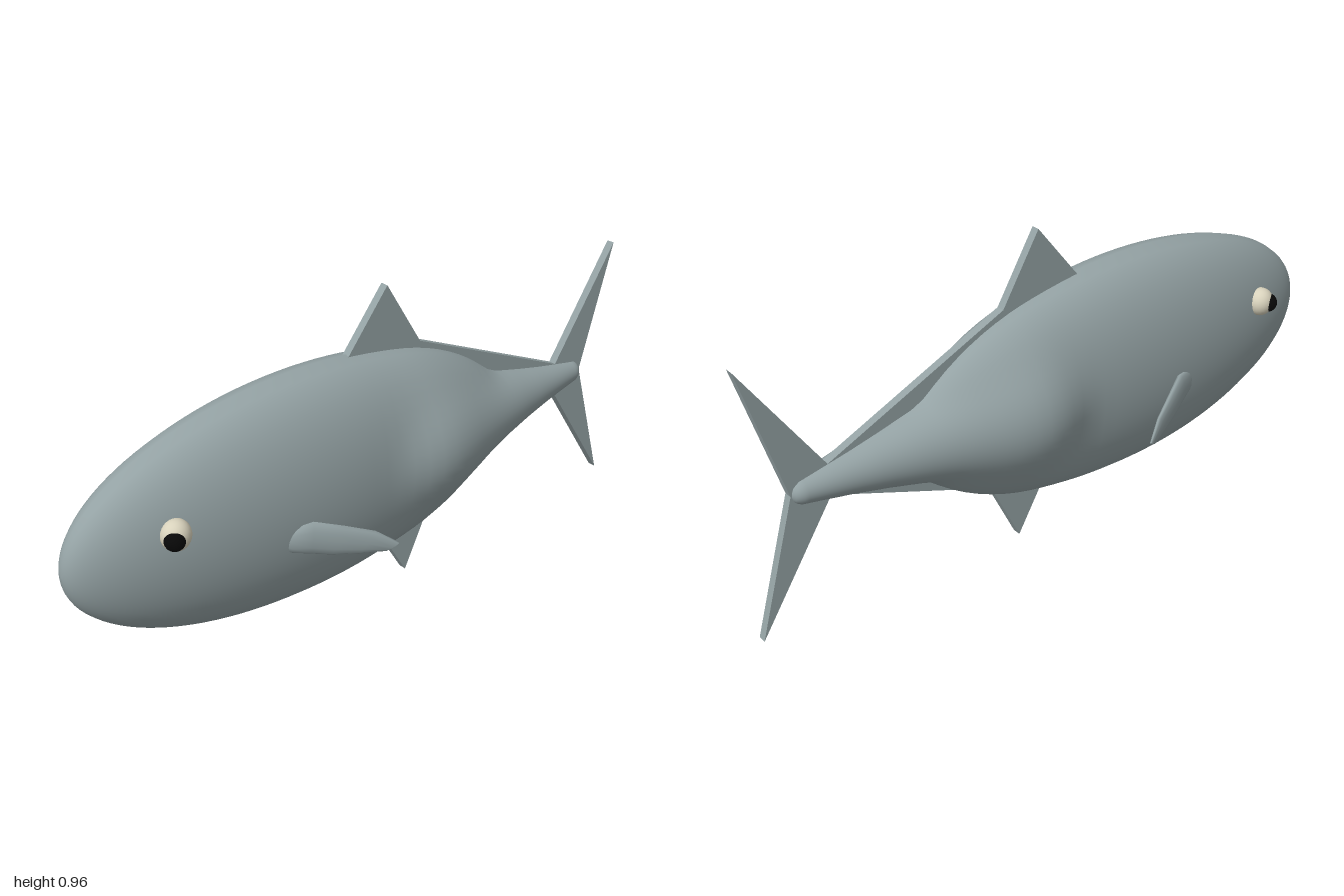
import * as THREE from 'three';

const skin = new THREE.MeshStandardMaterial({ color: 0x94a2a4 });
skin.name = 'greySkin';
const ivory = new THREE.MeshStandardMaterial({ color: 0xd8d2bc });
ivory.name = 'ivoryEye';
const black = new THREE.MeshStandardMaterial({ color: 0x080808 });
black.name = 'blackPupil';

function mesh(name, geometry, material) {
  const m = new THREE.Mesh(geometry, material);
  m.name = name;
  return m;
}

// Skin a list of closed rings of [x, y, z] points
function loft(rings) {
  const n = rings[0].length, index = [];
  for (let i = 0; i < rings.length - 1; i++) {
    for (let j = 0; j < n; j++) {
      const a = i * n + j, b = i * n + (j + 1) % n;
      index.push(a, a + n, b, b, a + n, b + n);
    }
  }
  const g = new THREE.BufferGeometry();
  g.setAttribute('position', new THREE.Float32BufferAttribute(rings.flat(2), 3));
  g.setIndex(index);
  g.computeVertexNormals();
  return g;
}

// Tail radius along z, front to back
const tail = [[0.12, 0], [0.06, 0.07], [0, 0.13], [-0.06, 0.17], [-0.12, 0.189], [-0.18, 0.194],
  [-0.25, 0.181], [-0.4, 0.138], [-0.5, 0.112], [-0.6, 0.087], [-0.7, 0.065], [-0.8, 0.046],
  [-0.855, 0.036], [-0.873, 0.022], [-0.88, 0]];

function tailRadius(z) {
  for (let i = 1; i < tail.length; i++) {
    const [z0, r0] = tail[i - 1], [z1, r1] = tail[i];
    if (z <= z0 && z >= z1) return THREE.MathUtils.lerp(r0, r1, (z0 - z) / (z0 - z1));
  }
  return 0;
}

// Body: tall ellipsoid blended into a round tapering tail
function bodyGeometry() {
  const rings = [], steps = 64, sides = 48;
  for (let i = 0; i <= steps; i++) {
    const z = 0.06 + 0.94 * Math.cos(Math.PI * i / steps);
    const k = Math.sqrt(Math.max(0, 1 - ((z - 0.25) / 0.75) ** 2));
    const rt = tailRadius(z), ring = [];
    for (let j = 0; j < sides; j++) {
      const a = 2 * Math.PI * j / sides, c = Math.cos(a), s = Math.sin(a);
      const re = k / Math.hypot(c / 0.168, s / 0.345);
      const r = Math.pow(re ** 6 + rt ** 6, 1 / 6);
      ring.push([r * c, 0.453 + r * s, z]);
    }
    rings.push(ring);
  }
  return loft(rings);
}

// Upright plate fin from a [z, y] outline
function plateFin(name, outline) {
  const shape = new THREE.Shape(outline.map(([z, y]) => new THREE.Vector2(z, y)));
  const g = new THREE.ExtrudeGeometry(shape, { depth: 0.025, bevelEnabled: false });
  g.translate(0, 0, -0.0125).rotateY(-Math.PI / 2);
  return mesh(name, g, skin);
}

// Side fin: lens sections between [upper edge, lower edge, half thickness]
const sideFin = [
  [[0.13, 0.415, 0.43], [0.13, 0.37, 0.43], 0.012],
  [[0.155, 0.428, 0.39], [0.155, 0.355, 0.4], 0.015],
  [[0.178, 0.44, 0.34], [0.176, 0.342, 0.35], 0.016],
  [[0.215, 0.415, 0.265], [0.2, 0.33, 0.3], 0.014],
  [[0.252, 0.384, 0.185], [0.232, 0.32, 0.23], 0.011],
  [[0.284, 0.338, 0.125], [0.262, 0.313, 0.16], 0.006],
];

function sideFinGeometry(s) {
  const rings = sideFin.map(([top, low, t]) => {
    const ring = [];
    for (let j = 0; j < 12; j++) {
      const a = Math.PI * j / 6, f = (1 - Math.cos(a)) / 2, d = -s * Math.sin(a) * t;
      const p = top.map((v, i) => THREE.MathUtils.lerp(v, low[i], f));
      ring.push([s * (p[0] + 0.9 * d), p[1], p[2] + 0.42 * d]);
    }
    return ring;
  });
  // Close both ends at the section centres
  const cap = ([top, low]) => Array.from({ length: 12 }, () =>
    top.map((v, i) => (v + low[i]) / 2 * (i === 0 ? s : 1)));
  return loft([cap(sideFin[0]), ...rings, cap(sideFin[sideFin.length - 1])]);
}

export function createModel() {
  const fish = new THREE.Group();
  fish.name = 'fish';
  fish.add(mesh('body', bodyGeometry(), skin));

  // Fins on the centre line, the upper and lower ones trailing into a keel
  fish.add(plateFin('dorsalFin', [[0.08, 0.785], [-0.06, 0.96], [-0.185, 0.757], [-0.77, 0.503],
    [-0.77, 0.48], [-0.5, 0.52], [-0.18, 0.6], [0.08, 0.7]]));
  fish.add(plateFin('bellyFin', [[-0.05, 0.15], [-0.14, 0], [-0.24, 0.205], [-0.76, 0.408],
    [-0.76, 0.43], [-0.5, 0.39], [-0.2, 0.3], [-0.05, 0.25]]));
  fish.add(plateFin('tailFin', [[-1, 0.855], [-0.88, 0.453], [-1, 0.05], [-0.765, 0.405], [-0.765, 0.505]]));

  for (const s of [1, -1]) {
    const side = s > 0 ? 'left' : 'right';
    fish.add(mesh(side + 'SideFin', sideFinGeometry(s), skin));

    const eye = mesh(side + 'Eye', new THREE.SphereGeometry(1, 24, 16), ivory);
    eye.scale.set(0.04, 0.044, 0.042);
    eye.position.set(s * 0.124, 0.534, 0.735);
    const pupil = mesh(side + 'Pupil', new THREE.SphereGeometry(0.029, 20, 14), black);
    pupil.position.set(s * 0.142, 0.532, 0.75);
    fish.add(eye, pupil);
  }
  return fish;
}
